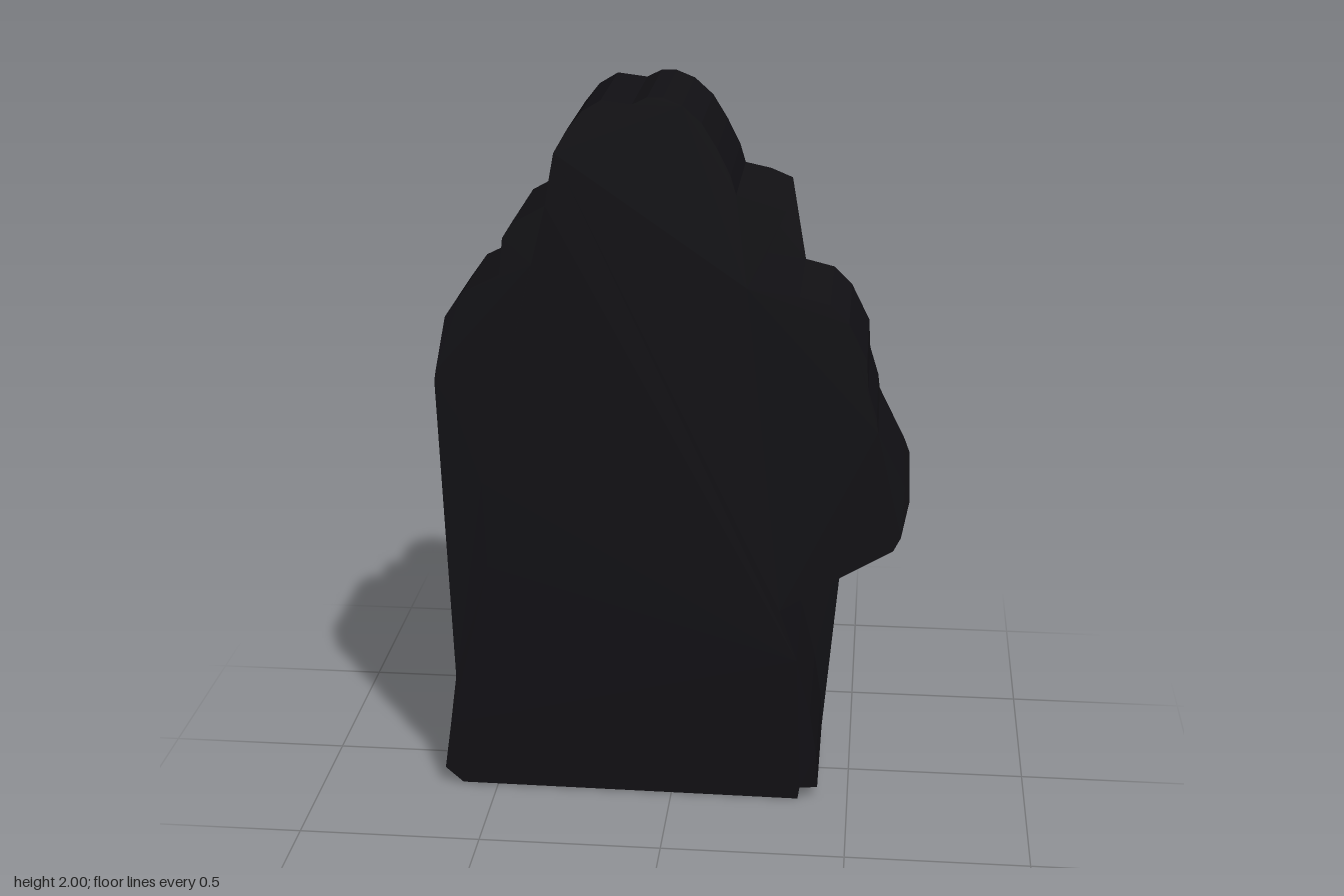
import * as THREE from 'three';

const HALF = 0.19;

export function createModel() {
  const group = new THREE.Group();
  const dark = new THREE.MeshStandardMaterial({ color: 0x111014, side: THREE.DoubleSide });
  const toShape = (pts) => new THREE.Shape(pts.map(([x, y]) => new THREE.Vector2(x, y)));

  // Runs of the silhouette, clockwise from the lower -x corner
  const waist = [[-0.65, 0.05], [-0.63, 0.19], [-0.61, 0.34], [-0.56, 0.5], [-0.51, 0.68],
    [-0.5, 0.8], [-0.52, 0.93], [-0.58, 1.12], [-0.64, 1.22]];
  const shoulder = [[-0.635, 1.25], [-0.605, 1.4], [-0.555, 1.47]];
  const neckGap = [[-0.455, 1.52], [-0.37, 1.55], [-0.445, 1.62]];
  const hood = [[-0.42, 1.66], [-0.33, 1.71], [-0.32, 1.77], [-0.305, 1.85], [-0.27, 1.91], [-0.23, 1.96],
    [-0.18, 1.99], [-0.1, 1.98], [-0.06, 2], [-0.02, 2], [0.03, 1.98], [0.08, 1.935], [0.12, 1.87],
    [0.155, 1.8], [0.17, 1.75], [0.24, 1.735]];
  const collarGap = [[0.3, 1.71], [0.25, 1.59], [0.2, 1.5], [0.34, 1.48]];
  const arm = [[0.42, 1.46], [0.47, 1.41], [0.52, 1.31], [0.525, 1.23], [0.55, 1.15], [0.555, 1.11],
    [0.63, 0.96], [0.645, 0.92], [0.625, 0.81], [0.605, 0.77]];
  const hipGap = [[0.47, 0.69], [0.3, 0.58], [0.35, 0.43], [0.39, 0.27], [0.41, 0.14], [0.415, 0.04]];
  const base = [[0.365, 0.035], [0.36, 0], [-0.6, 0.005]];

  // Solid body
  const outline = [...waist, ...shoulder, ...neckGap, ...hood, ...collarGap, ...arm, ...hipGap, ...base];
  const bodyGeo = new THREE.ExtrudeGeometry(toShape(outline), { depth: 2 * HALF, bevelEnabled: false });
  bodyGeo.translate(0, 0, -HALF);
  const body = new THREE.Mesh(bodyGeo, dark);
  body.name = 'figureBody';
  group.add(body);

  // Flat webs closing the gaps on one face only
  const webs = [
    ['frontWaistWeb', waist.slice(2), HALF],
    ['frontNeckWeb', neckGap, HALF],
    ['backCollarWeb', collarGap, -HALF],
    ['backHipWeb', hipGap, -HALF],
  ];
  for (const [name, pts, z] of webs) {
    const web = new THREE.Mesh(new THREE.ShapeGeometry(toShape(pts)), dark);
    web.position.z = z;
    web.name = name;
    group.add(web);
  }
  return group;
}
